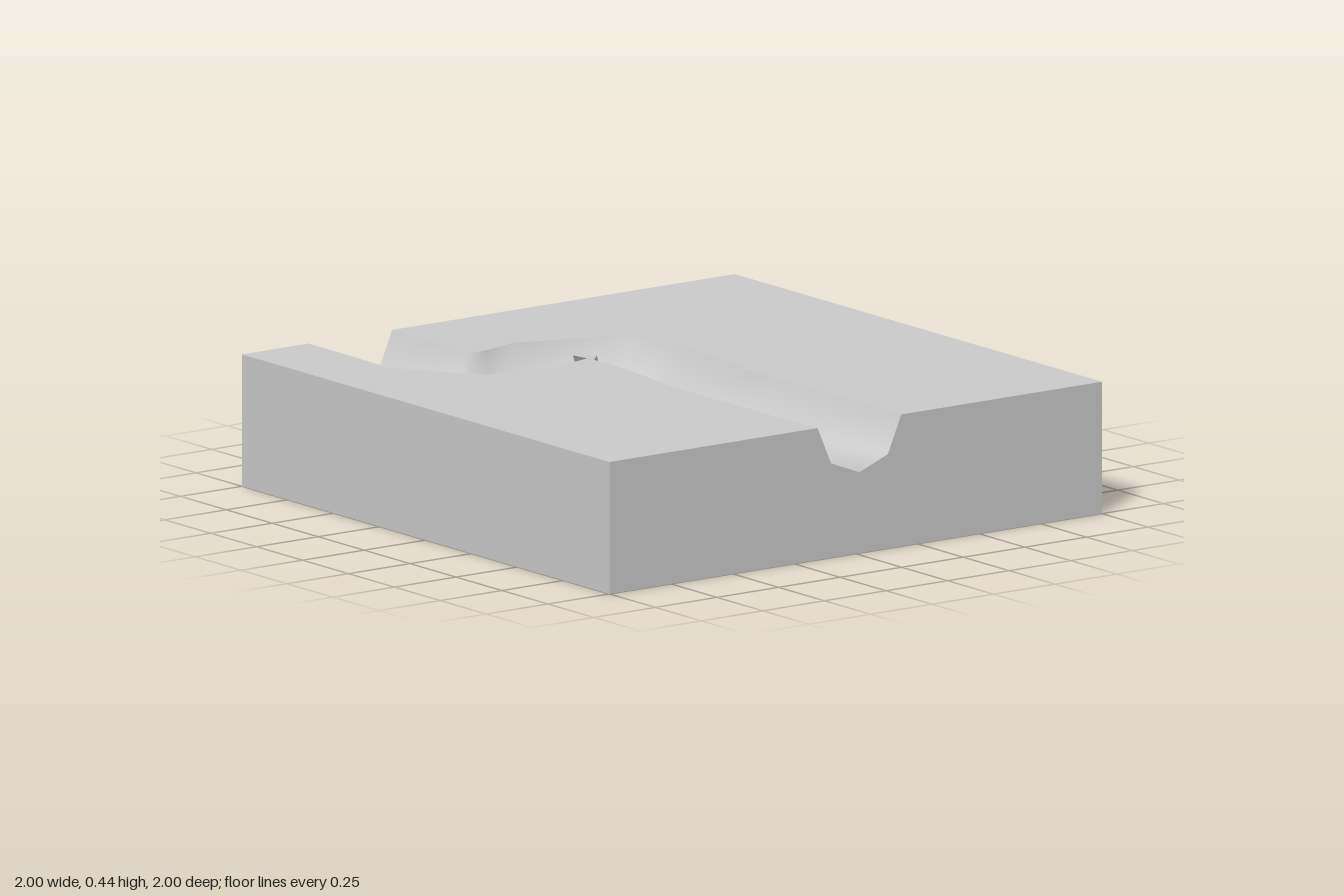
import * as THREE from 'three';

const H = 0.44; // slab height

// Channel stations from left to right: back rim x, z and front rim x, z
const STATIONS = [
  [-1, 0.39, -1, 0.73],
  [-0.8, 0.39, -0.8, 0.73],
  [-0.57, 0.405, -0.555, 0.735],
  [-0.575, 0.32, -0.28, 0.55],
  [-0.61, 0.19, -0.24, 0.3],
  [-0.49, -0.16, -0.28, 0.135],
  [-0.46, -0.167, -0.345, 0.145],
  [-0.38, -0.184, -0.295, 0.085],
  [-0.26, -0.21, -0.25, 0.13],
  [-0.08, -0.21, -0.08, 0.13],
  [0.2, -0.18, 0.2, 0.16],
  [0.4, -0.18, 0.4, 0.165],
  [1, -0.185, 1, 0.155],
];
// Cross-section: fraction from back rim to front rim, and height
const PROFILE = [[0, H], [0.16, 0.315], [0.5, 0.27], [0.84, 0.315], [1, H]];

const section = ([bx, bz, fx, fz]) => PROFILE.map(([t, y]) =>
  new THREE.Vector3(bx + (fx - bx) * t, y, bz + (fz - bz) * t));

const flat = (points) => new THREE.ShapeGeometry(
  new THREE.Shape(points.map(([x, y]) => new THREE.Vector2(x, y))));

export function createModel() {
  const group = new THREE.Group();
  const material = new THREE.MeshStandardMaterial({ color: 0xcccccc });
  const add = (name, geometry, mat = material) => {
    const mesh = new THREE.Mesh(geometry, mat);
    mesh.name = name;
    group.add(mesh);
  };

  // Ground surface on both sides of the channel
  const back = STATIONS.map(([x, z]) => [x, -z]);
  const front = STATIONS.map(([, , x, z]) => [x, -z]);
  const lay = (points) => flat(points).rotateX(-Math.PI / 2).translate(0, H, 0);
  add('backGround', lay([...back, [1, 1], [-1, 1]]));
  add('frontGround', lay([...front, [1, -1], [-1, -1]]));

  // Channel bed lofted through the stations with smooth normals
  const rows = STATIONS.map(section);
  const n = PROFILE.length;
  const index = [];
  for (let i = 0; i < rows.length - 1; i++) {
    for (let j = 0; j < n - 1; j++) {
      const a = i * n + j, c = a + n;
      index.push(a, a + 1, c, a + 1, c + 1, c);
    }
  }
  const bed = new THREE.BufferGeometry().setFromPoints(rows.flat());
  bed.setIndex(index);
  bed.computeVertexNormals();
  const bedMaterial = material.clone();
  bedMaterial.side = THREE.DoubleSide;
  add('channelBed', bed, bedMaterial);

  // End walls notched by the channel profile
  for (const [name, row, s] of [['leftEnd', rows.at(-1), 1], ['rightEnd', rows[0], -1]]) {
    const notch = row.map((p) => [-s * p.z, p.y]);
    const wall = flat([[s, 0], [s, H], ...notch, [-s, H], [-s, 0]]);
    add(name, wall.rotateY(s * Math.PI / 2).translate(s, 0, 0));
  }

  // Plain sides and underside
  add('frontSide', new THREE.PlaneGeometry(2, H).translate(0, H / 2, 1));
  add('backSide', new THREE.PlaneGeometry(2, H).rotateY(Math.PI).translate(0, H / 2, -1));
  add('underside', new THREE.PlaneGeometry(2, 2).rotateX(Math.PI / 2));

  return group;
}
